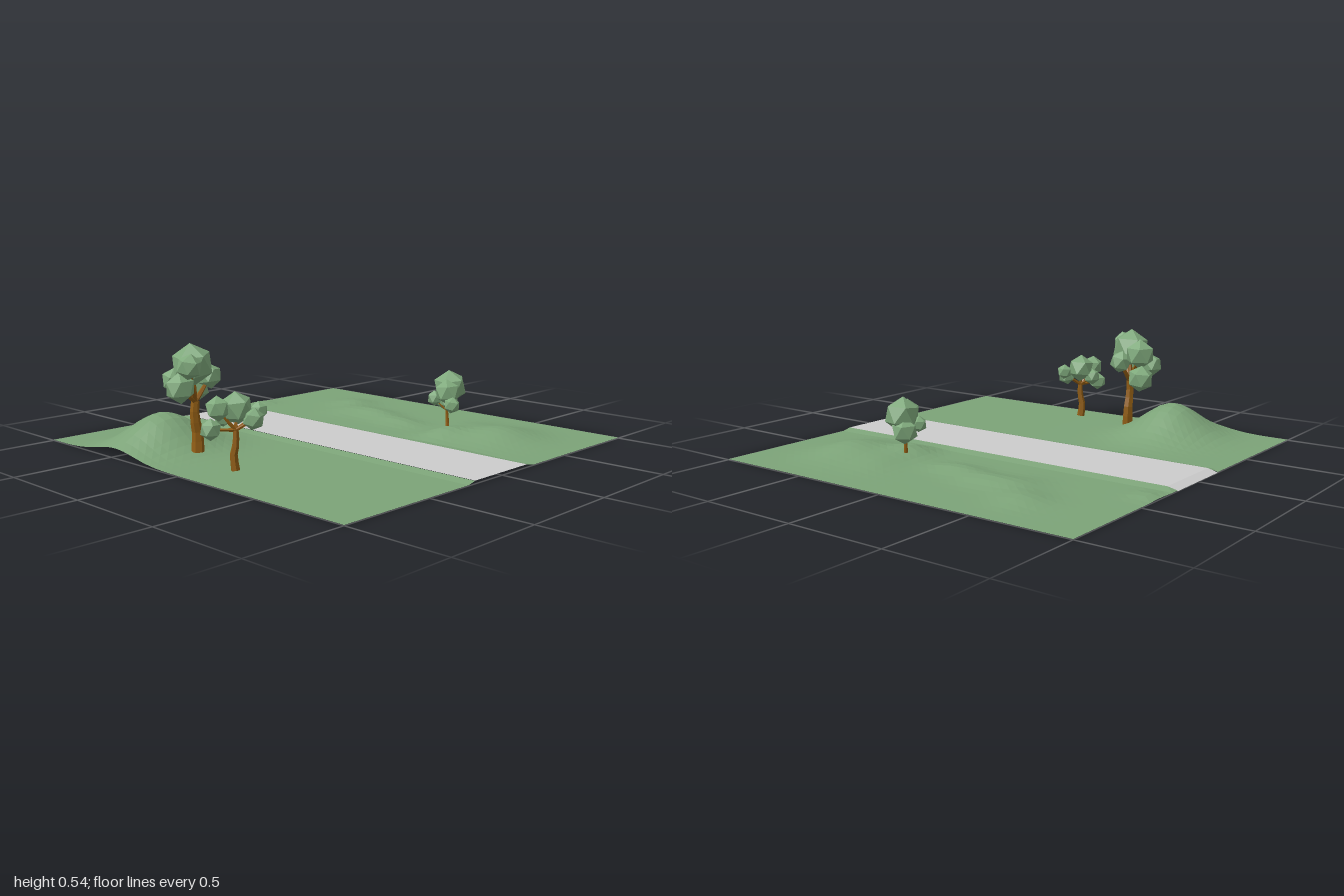
import * as THREE from 'three';

const mat = (color) => new THREE.MeshStandardMaterial({ color, flatShading: true, side: THREE.DoubleSide });

// Hills: x, z, height, spread in x, spread in z
const hills = [
  [-0.72, -0.47, 0.175, 0.17, 0.145],
  [0.55, 0.59, 0.062, 0.15, 0.13],
  [0.40, 0.36, 0.04, 0.08, 0.07],
  [0.62, 0.34, 0.02, 0.12, 0.08],
  [0.50, -0.02, 0.025, 0.06, 0.10],
  [0.57, -0.25, 0.03, 0.07, 0.10],
  [0.55, -0.42, 0.018, 0.10, 0.08],
  [0.71, -0.55, 0.025, 0.08, 0.08],
  [0.35, -0.93, 0.015, 0.05, 0.04],
];

function groundHeight(x, z) {
  let y = 0.003;
  for (const [hx, hz, h, sx, sz] of hills) {
    y += h * Math.exp(-(((x - hx) / sx) ** 2 + ((z - hz) / sz) ** 2) / 2);
  }
  // Banks rise slightly to meet the road
  const bank = Math.max(0, 1 - Math.max(0, Math.abs(x) - 0.19) / 0.06);
  return Math.max(y, roadHeight(z) * bank);
}

function roadHeight(z) {
  return 0.014 * Math.min(1, (z + 1) / 0.05);
}

// A strip of landscape across the full depth
function strip(name, x0, x1, nx, color, height) {
  const geo = new THREE.PlaneGeometry(x1 - x0, 2, nx, 40);
  geo.rotateX(-Math.PI / 2).translate((x0 + x1) / 2, 0, 0);
  const p = geo.attributes.position;
  for (let i = 0; i < p.count; i++) p.setY(i, height(p.getX(i), p.getZ(i)));
  geo.computeVertexNormals();
  const mesh = new THREE.Mesh(geo, mat(color));
  mesh.name = name;
  return mesh;
}

// Tapered low-poly limb through a few points
function limb(name, points, r0, r1, material, sides = 6) {
  const curve = new THREE.CatmullRomCurve3(points.map((q) => new THREE.Vector3(...q)));
  const steps = 5;
  const geo = new THREE.TubeGeometry(curve, steps, 1, sides, false);
  const p = geo.attributes.position;
  const v = new THREE.Vector3();
  for (let i = 0; i < p.count; i++) {
    const t = Math.floor(i / (sides + 1)) / steps;
    const c = curve.getPointAt(t);
    v.fromBufferAttribute(p, i).sub(c).multiplyScalar(r0 + (r1 - r0) * t).add(c);
    p.setXYZ(i, v.x, v.y, v.z);
  }
  geo.computeVertexNormals();
  const mesh = new THREE.Mesh(geo, material);
  mesh.name = name;
  return mesh;
}

// Tree from trunk points, trunk radius and leaf clumps [x, y, z, radius]
function tree(name, trunk, radius, clumps) {
  const g = new THREE.Group();
  g.name = name;
  const bark = mat(0x8f5c14);
  const leaf = mat(0x7fa97c);
  const fork = trunk[trunk.length - 1];
  g.add(limb('trunk', trunk, radius, radius * 0.62, bark));
  clumps.forEach(([x, y, z, r], i) => {
    // Branch from the fork to the clump
    const mid = [(fork[0] + x) / 2, Math.max(fork[1], fork[1] * 0.55 + y * 0.45), (fork[2] + z) / 2];
    g.add(limb('branch', [fork, mid, [x, y, z]], radius * 0.45, radius * 0.2, bark, 5));
    // Faceted clump with a corner pointing up
    const geo = new THREE.IcosahedronGeometry(r, 0).rotateX(-1.0172);
    const mesh = new THREE.Mesh(geo, leaf);
    mesh.name = 'leafClump';
    mesh.position.set(x, y, z);
    mesh.rotation.set(0.12 * Math.sin(i * 3), i * 0.8, 0.12 * Math.cos(i * 2));
    g.add(mesh);
  });
  return g;
}

export function createModel() {
  const model = new THREE.Group();
  model.name = 'roadsideLandscape';
  const green = 0x7ca378;
  model.add(
    strip('leftMeadow', -1, -0.195, 17, green, groundHeight),
    strip('road', -0.195, 0.19, 4, 0xcccccc, (x, z) => roadHeight(z)),
    strip('rightMeadow', 0.19, 1, 17, green, groundHeight),
  );

  model.add(tree('largeTree',
    [[-0.73, 0.03, -0.195], [-0.725, 0.12, -0.20], [-0.74, 0.20, -0.20], [-0.735, 0.27, -0.20]], 0.031, [
      [-0.755, 0.445, -0.19, 0.10],
      [-0.66, 0.43, -0.305, 0.08],
      [-0.635, 0.305, -0.325, 0.07],
      [-0.85, 0.455, -0.09, 0.06],
      [-0.865, 0.355, -0.14, 0.072],
      [-0.77, 0.36, -0.31, 0.06],
      [-0.655, 0.38, -0.19, 0.06],
    ]));

  model.add(tree('smallTree',
    [[-0.80, 0.02, 0.155], [-0.805, 0.09, 0.15], [-0.80, 0.14, 0.16], [-0.80, 0.20, 0.16]], 0.021, [
      [-0.785, 0.295, 0.15, 0.075],
      [-0.90, 0.21, 0.11, 0.05],
      [-0.87, 0.30, 0.125, 0.057],
      [-0.75, 0.25, 0.22, 0.05],
      [-0.705, 0.28, 0.205, 0.042],
      [-0.81, 0.25, 0.09, 0.046],
    ]));

  model.add(tree('bush',
    [[0.485, 0.02, 0.315], [0.488, 0.07, 0.312], [0.485, 0.12, 0.31]], 0.011, [
      [0.54, 0.235, 0.285, 0.087],
      [0.56, 0.165, 0.25, 0.066],
      [0.443, 0.225, 0.345, 0.066],
      [0.417, 0.168, 0.395, 0.042],
      [0.46, 0.18, 0.25, 0.04],
    ]));
  return model;
}
